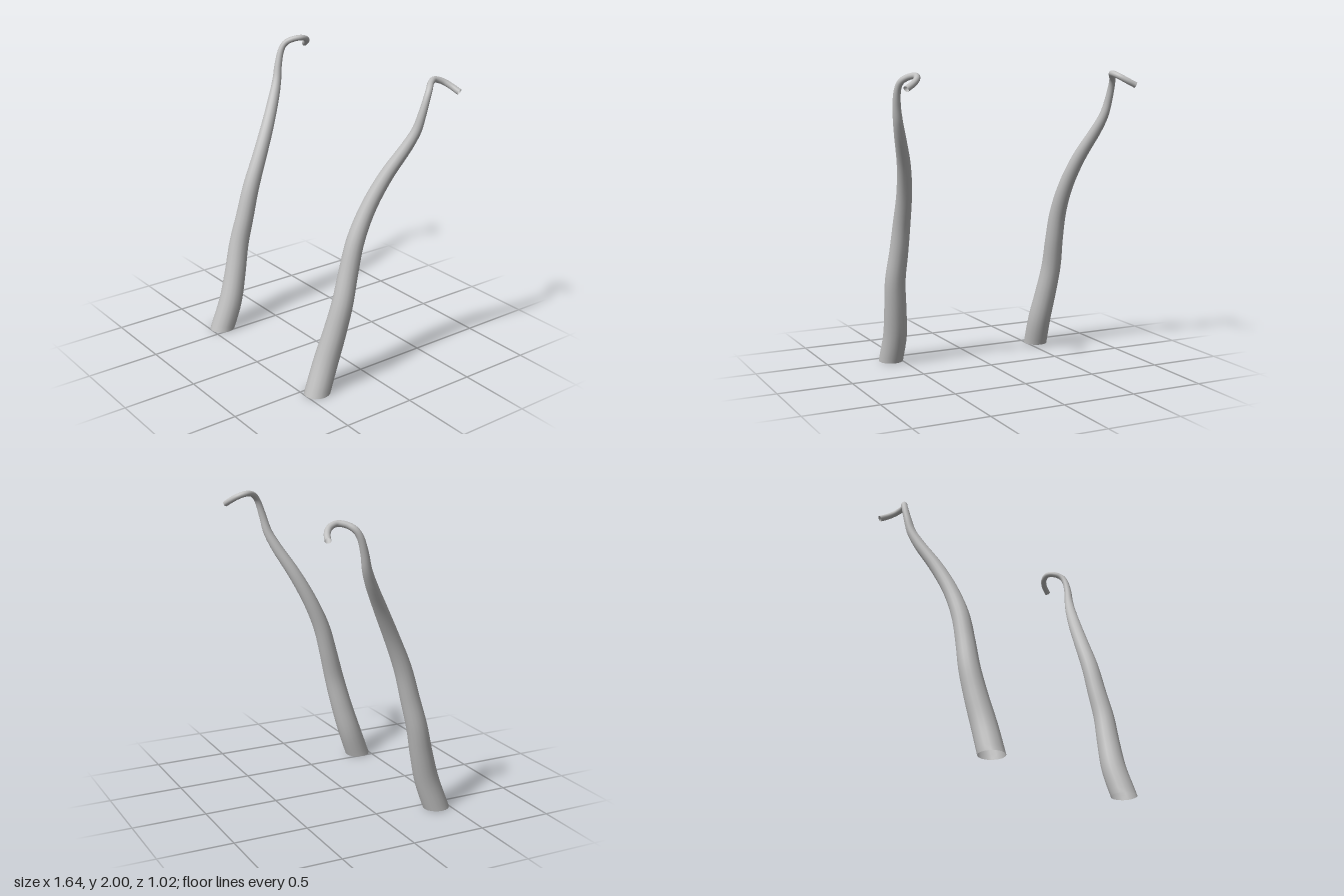
import * as THREE from 'three';

// Centre line and radius of one strand, root to tip: x, y, z, radius
const PATH = [
  [0.57, 0, 0.415, 0.083],
  [0.565, 0.2, 0.343, 0.081],
  [0.583, 0.4, 0.286, 0.075],
  [0.6, 0.6, 0.238, 0.069],
  [0.593, 0.8, 0.187, 0.063],
  [0.592, 1.0, 0.133, 0.058],
  [0.606, 1.2, 0.05, 0.051],
  [0.647, 1.4, -0.052, 0.045],
  [0.717, 1.6, -0.165, 0.037],
  [0.748, 1.7, -0.21, 0.031],
  [0.765, 1.8, -0.235, 0.026],
  [0.769, 1.9, -0.266, 0.022],
  [0.757, 1.945, -0.293, 0.021],
  [0.725, 1.972, -0.333, 0.02],
  [0.7, 1.98, -0.385, 0.02],
  [0.715, 1.963, -0.44, 0.02],
  [0.755, 1.935, -0.475, 0.02],
  [0.808, 1.905, -0.496, 0.02],
];
const RINGS = 90;
const SIDES = 16;

// Tapered tube swept along the path, root cut flat on the ground
function strandGeometry(side) {
  const curve = new THREE.CatmullRomCurve3(PATH.map(([x, y, z]) => new THREE.Vector3(side * x, y, z)));
  const radii = new THREE.SplineCurve(PATH.map((p, i) => new THREE.Vector2(i, p[3])));
  const positions = [];
  const index = [];
  const u = new THREE.Vector3(1, 0, 0);
  for (let i = 0; i <= RINGS; i++) {
    const t = i / RINGS;
    const centre = curve.getPoint(t);
    const tangent = curve.getTangent(t);
    const r = radii.getPoint(t).y;
    // carry the ring's axes along without twist
    u.addScaledVector(tangent, -u.dot(tangent)).normalize();
    const w = new THREE.Vector3().crossVectors(tangent, u);
    const level = Math.max(0, 1 - t / 0.12);
    for (let j = 0; j < SIDES; j++) {
      const a = (j / SIDES) * Math.PI * 2;
      const v = new THREE.Vector3()
        .addScaledVector(u, r * Math.cos(a))
        .addScaledVector(w, r * Math.sin(a));
      // slide along the tangent so the lowest rings become level
      v.addScaledVector(tangent, (-v.y / tangent.y) * level);
      v.add(centre);
      positions.push(v.x, v.y, v.z);
      if (i < RINGS) {
        const p = i * SIDES + j;
        const q = i * SIDES + ((j + 1) % SIDES);
        index.push(p, q, p + SIDES, q, q + SIDES, p + SIDES);
      }
    }
  }
  const geometry = new THREE.BufferGeometry();
  geometry.setAttribute('position', new THREE.Float32BufferAttribute(positions, 3));
  geometry.setIndex(index);
  geometry.computeVertexNormals();
  return geometry;
}

export function createModel() {
  const group = new THREE.Group();
  group.name = 'curledStrands';
  const grey = new THREE.MeshStandardMaterial({ color: 0xc0c0c0, side: THREE.DoubleSide });
  grey.name = 'light grey';

  // Mirrored pair
  for (const [name, side] of [['leftStrand', 1], ['rightStrand', -1]]) {
    const strand = new THREE.Mesh(strandGeometry(side), grey);
    strand.name = name;
    group.add(strand);
  }
  return group;
}
